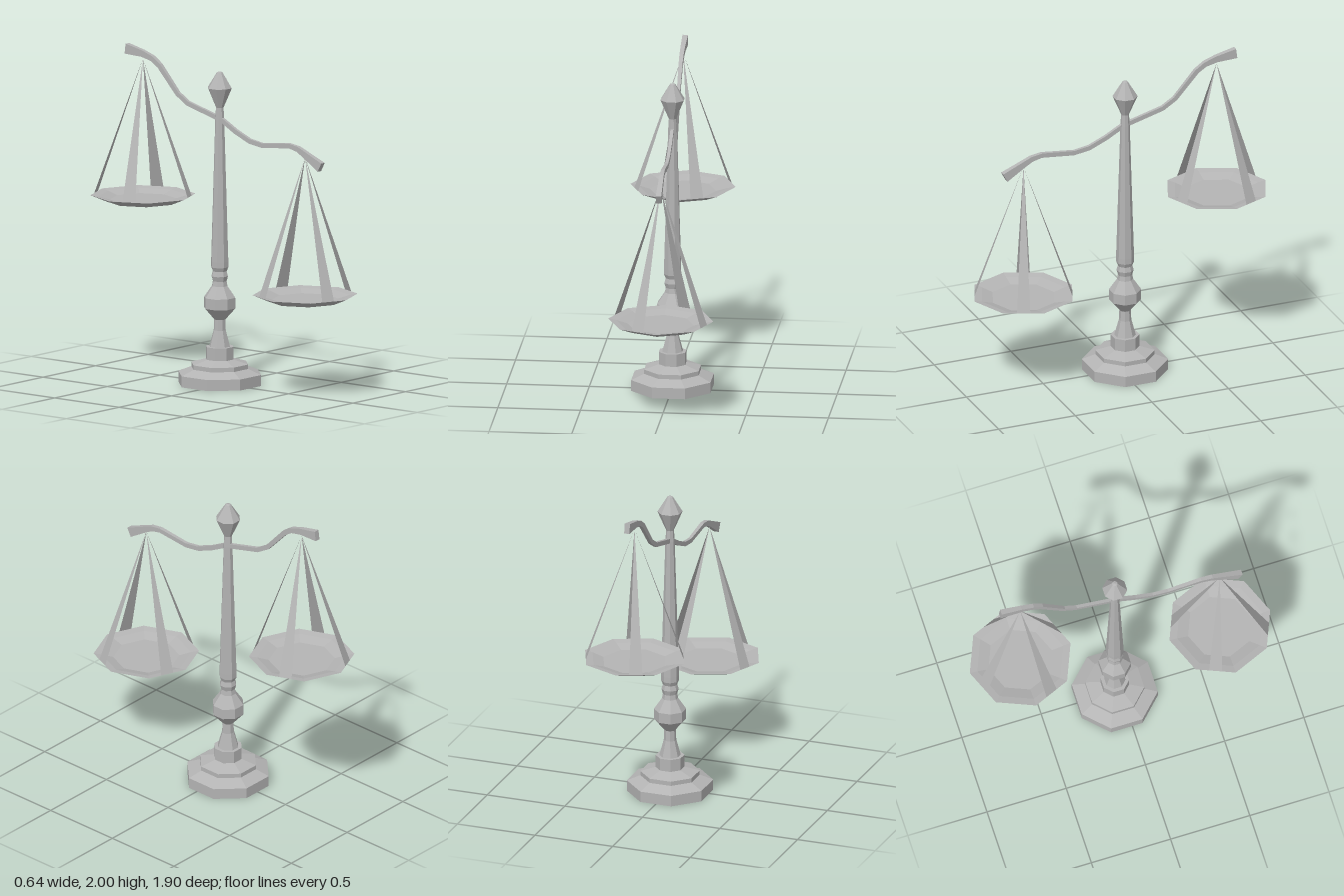
import * as THREE from 'three';

const SIDES = 8;
const AXIS_Z = -0.035;

// Eight-sided turned shape from [radius, height] pairs
function turned(points, phase, material, name) {
  const profile = points.map(([r, y]) => new THREE.Vector2(r, y));
  const mesh = new THREE.Mesh(new THREE.LatheGeometry(profile, SIDES, phase), material);
  mesh.name = name;
  return mesh;
}

// Square bar swept through [z, y, half height, half width] stations
function beamGeometry(stations) {
  const pos = [], index = [];
  stations.forEach(([z, y, h, w], i) => {
    const a = stations[Math.max(i - 1, 0)], b = stations[Math.min(i + 1, stations.length - 1)];
    const len = Math.hypot(b[0] - a[0], b[1] - a[1]);
    const nz = (b[1] - a[1]) / len * h, ny = -(b[0] - a[0]) / len * h;
    pos.push(-w, y - ny, z - nz, w, y - ny, z - nz, w, y + ny, z + nz, -w, y + ny, z + nz);
  });
  const last = (stations.length - 1) * 4;
  for (let i = 0; i < last; i += 4) {
    for (let k = 0; k < 4; k++) {
      const a = i + k, b = i + (k + 1) % 4;
      index.push(a, a + 4, b, b, a + 4, b + 4);
    }
  }
  index.push(0, 1, 2, 0, 2, 3, last, last + 2, last + 1, last, last + 3, last + 2);
  const geo = new THREE.BufferGeometry();
  geo.setAttribute('position', new THREE.Float32BufferAttribute(pos, 3));
  geo.setIndex(index);
  geo.computeVertexNormals();
  return geo;
}

// Shallow dish hung from four flat tapering straps
function hangingPan(name, z, rimY, apexY, turn, metal, strapMetal) {
  const group = new THREE.Group();
  group.name = name;
  group.position.set(0, rimY, z);
  group.add(turned([[0, -0.04], [0.22, -0.04], [0.318, 0], [0.27, -0.008], [0.2, -0.028], [0, -0.028]],
    0, metal, 'dish'));

  const mid = 0.318 * Math.cos(Math.PI / SIDES), half = 0.04;
  for (let k = 0; k < 4; k++) {
    const geo = new THREE.BufferGeometry();
    geo.setAttribute('position', new THREE.Float32BufferAttribute(
      [mid, 0, half, mid, 0, -half, 0, apexY - rimY, 0], 3));
    geo.computeVertexNormals();
    const strap = new THREE.Mesh(geo, strapMetal);
    strap.name = 'strap';
    strap.rotation.y = turn + k * Math.PI / 2;
    group.add(strap);
  }
  return group;
}

export function createModel() {
  const model = new THREE.Group();
  model.name = 'balanceScale';
  const metal = new THREE.MeshStandardMaterial({ color: 0xb4b4b4, flatShading: true, side: THREE.DoubleSide });
  metal.name = 'grey metal';

  // Base, column and finial, given as half widths across the flats
  const flats = (points) => points.map(([w, y]) => [w / Math.cos(Math.PI / SIDES), y]);
  const parts = {
    base: [[0, 0], [0.24, 0], [0.24, 0.067], [0.165, 0.1], [0.165, 0.127], [0.08, 0.153],
      [0.08, 0.23], [0, 0.23]],
    column: [[0.06, 0.23], [0.035, 0.33], [0.032, 0.395], [0.09, 0.465], [0.09, 0.53],
      [0.045, 0.6], [0.04, 0.63], [0.048, 0.66], [0.04, 0.69], [0.05, 0.715], [0.05, 0.75],
      [0.026, 1.62], [0.022, 1.69]],
    finial: [[0.022, 1.69], [0.07, 1.81], [0.016, 1.905], [0, 1.91]],
  };
  for (const [name, points] of Object.entries(parts)) {
    const mesh = turned(flats(points), Math.PI / SIDES, metal, name);
    mesh.position.z = AXIS_Z;
    model.add(mesh);
  }

  // Tilted, wavy beam with flared ends
  const beam = new THREE.Mesh(beamGeometry([
    [0.753, 1.413, 0.03, 0.017], [0.63, 1.478, 0.019, 0.014], [0.575, 1.505, 0.016, 0.013],
    [0.51, 1.517, 0.014, 0.012], [0.3, 1.495, 0.014, 0.01], [0.2, 1.51, 0.014, 0.01],
    [0.09, 1.557, 0.014, 0.01], [-0.015, 1.615, 0.014, 0.01], [-0.28, 1.687, 0.014, 0.01],
    [-0.36, 1.737, 0.014, 0.01], [-0.5, 1.893, 0.015, 0.012], [-0.555, 1.93, 0.016, 0.013],
    [-0.63, 1.952, 0.02, 0.014], [-0.757, 1.969, 0.031, 0.017],
  ]), metal);
  beam.name = 'beam';
  model.add(beam);

  // Low front pan and high back pan, straps mirrored
  model.add(hangingPan('frontPan', 0.628, 0.622, 1.46, -Math.PI / 8, metal, metal));
  model.add(hangingPan('backPan', -0.632, 1.09, 1.92, Math.PI / 8, metal, metal));
  return model;
}
